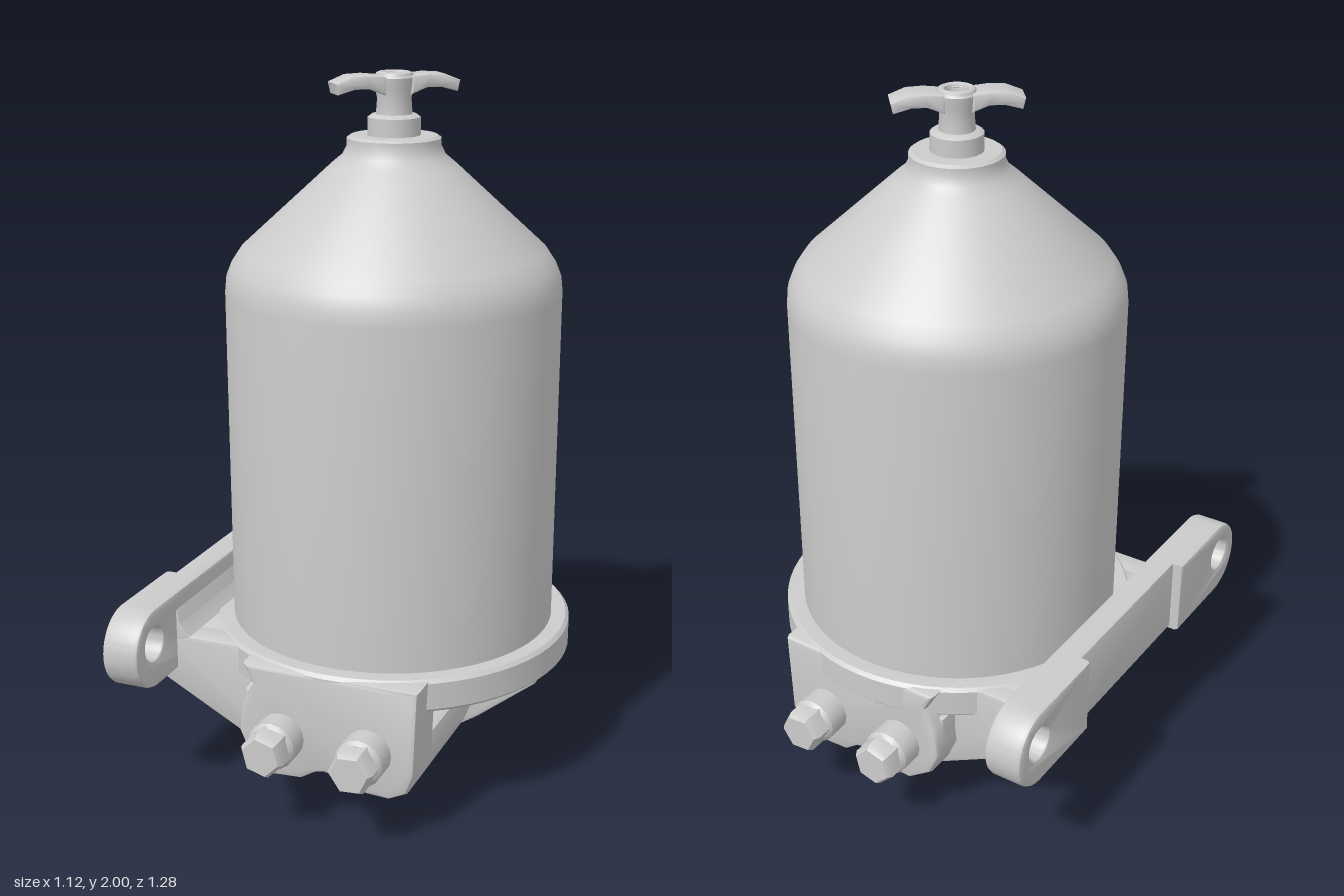
import * as THREE from 'three';
import { toCreasedNormals } from 'three/addons/utils/BufferGeometryUtils.js';

const material = new THREE.MeshStandardMaterial({ color: 0xcccccc });
const CX = 0.04, CZ = -0.01; // axis of the canister

function add(parent, name, geometry, x = 0, y = 0, z = 0, crease = 0.6) {
  const mesh = new THREE.Mesh(toCreasedNormals(geometry, crease), material);
  mesh.name = name;
  mesh.position.set(x, y, z);
  parent.add(mesh);
  return mesh;
}

const lathe = (points, segments = 64) =>
  new THREE.LatheGeometry(points.map(([r, y]) => new THREE.Vector2(r, y)), segments);

const outline = (points) => new THREE.Shape(points.map(([x, y]) => new THREE.Vector2(x, y)));

// Extrudes a shape along z, centred, with a small bevel kept inside the outline
function slab(shape, depth, bevel = 0.012) {
  const g = new THREE.ExtrudeGeometry(shape, {
    depth: depth - 2 * bevel, bevelEnabled: true, bevelSize: bevel, bevelOffset: -bevel,
    bevelThickness: bevel, bevelSegments: 2, curveSegments: 20,
  });
  return g.translate(0, 0, -depth / 2 + bevel);
}

function canister(group) {
  add(group, 'canister', lathe([
    [0, 0.42], [0.463, 0.42], [0.465, 1.41], [0.461, 1.45], [0.447, 1.485], [0.42, 1.525],
    [0.17, 1.755], [0.14, 1.78], [0.128, 1.805], [0.128, 1.825], [0.118, 1.832], [0, 1.832],
  ], 80), CX, 0, CZ);
}

function wingScrew(group) {
  const screw = new THREE.Group();
  screw.name = 'wingScrew';
  screw.position.set(CX, 0, CZ);
  screw.rotation.y = 0.7;
  group.add(screw);
  add(screw, 'collarNut', lathe([[0, 1.82], [0.072, 1.82], [0.072, 1.88], [0.06, 1.888], [0, 1.888]], 20));
  // Stem swelling into a hub with a recessed top
  add(screw, 'stem', lathe([
    [0.05, 1.88], [0.046, 1.93], [0.052, 1.955], [0.056, 1.985], [0.048, 1.995],
    [0.032, 1.995], [0.028, 1.975], [0, 1.975],
  ], 20));
  // Both wings rise from the hub and droop at the tips
  for (const side of [1, -1]) {
    const wing = outline([
      [0.035, 1.94], [0.08, 1.958], [0.12, 1.958], [0.168, 1.945],
      [0.175, 1.975], [0.13, 1.993], [0.085, 1.995], [0.035, 1.99],
    ]);
    const mesh = add(screw, 'wing', slab(wing, 0.085, 0.008));
    mesh.rotation.y = side > 0 ? 0 : Math.PI;
  }
  add(screw, 'hubTop', new THREE.TorusGeometry(0.041, 0.011, 8, 24).rotateX(Math.PI / 2), 0, 1.989);
}

function filterHead(group) {
  add(group, 'rim', lathe([
    [0, 0.33], [0.42, 0.33], [0.45, 0.36], [0.505, 0.365], [0.515, 0.375],
    [0.515, 0.45], [0.505, 0.46], [0.455, 0.46], [0, 0.44],
  ]), CX, 0, CZ);

  // Core running from port to port
  add(group, 'portCore', slab(outline([
    [-0.21, 0.36], [-0.21, 0.25], [-0.18, 0.19], [-0.11, 0.13], [-0.03, 0.135], [0.04, 0.165],
    [0.11, 0.13], [0.23, 0.125], [0.28, 0.15], [0.3, 0.2], [0.29, 0.26], [0.22, 0.29], [0.15, 0.31], [0.15, 0.36],
  ]), 0.94), 0, 0, 0, 0.7);

  // Full height port faces at the front and back
  for (const side of [1, -1]) {
    add(group, 'portFace', slab(outline([
      [-0.2, 0.455], [-0.17, 0.4], [-0.205, 0.34], [-0.215, 0.25], [-0.185, 0.18], [-0.115, 0.13],
      [-0.03, 0.135], [0.01, 0.16], [0.04, 0.167], [0.07, 0.16], [0.11, 0.13], [0.23, 0.125],
      [0.28, 0.15], [0.302, 0.21], [0.312, 0.455],
    ]), 0.15, 0.015), 0, 0, side * 0.43, 0.7);
  }

  // Tapered rib below the outer side of the rim
  add(group, 'sideRib', slab(outline([
    [0.1, 0.12], [0.26, 0.125], [0.32, 0.165], [0.49, 0.3], [0.5, 0.37], [0.1, 0.37],
  ]), 0.09), 0, 0, CZ);

  // Hub and drain plug
  add(group, 'drainHub', lathe([[0, 0.1], [0.1, 0.1], [0.15, 0.125], [0.2, 0.2], [0.22, 0.34]], 32), CX, 0, CZ);
  add(group, 'drainPlug', lathe([
    [0, 0], [0.055, 0], [0.09, 0.012], [0.105, 0.025], [0.105, 0.095], [0.085, 0.105], [0.08, 0.14],
  ], 8), CX, 0, CZ);
}

function mountingBracket(group) {
  // Sloped bridge between the head and the mounting bar, with raised underside
  add(group, 'bridge', slab(outline([
    [-0.48, 0.455], [-0.48, 0.35], [-0.17, 0.2], [-0.1, 0.2], [-0.1, 0.455],
  ]), 0.74), 0, 0, 0);
  for (const z of [-0.365, 0, 0.365]) {
    add(group, 'bridgeRib', slab(outline([
      [-0.5, 0.455], [-0.5, 0.32], [-0.17, 0.145], [-0.1, 0.125], [-0.1, 0.455],
    ]), 0.09), 0, 0, z);
  }
  // Fillet between bar and bridge
  add(group, 'bridgeFillet', slab(outline([
    [-0.47, 0.56], [-0.452, 0.54], [-0.44, 0.49], [-0.41, 0.455], [-0.47, 0.43],
  ]), 0.82, 0.002));

  const bar = outline([[-0.3, 0.35], [0.3, 0.35], [0.3, 0.58], [-0.3, 0.58]]);
  add(group, 'mountingBar', slab(bar, 0.08), -0.49).rotation.y = -Math.PI / 2;

  // Thicker ears with bolt holes
  for (const side of [1, -1]) {
    const ear = new THREE.Shape();
    ear.moveTo(0.27, 0.35);
    ear.lineTo(0.52, 0.35);
    ear.absarc(0.52, 0.465, 0.115, -Math.PI / 2, Math.PI / 2);
    ear.lineTo(0.27, 0.58);
    ear.closePath();
    const hole = new THREE.Path();
    hole.absarc(0.532, 0.48, 0.048, 0, Math.PI * 2, true);
    ear.holes.push(hole);
    const mesh = add(group, 'mountingEar', slab(ear, 0.11), -0.505);
    mesh.rotation.y = side > 0 ? -Math.PI / 2 : Math.PI / 2;
  }
}

function portPlugs(group) {
  for (const side of [1, -1]) {
    for (const x of [-0.085, 0.17]) {
      const plug = new THREE.Group();
      plug.name = 'portPlug';
      plug.position.set(x, 0.257, side * 0.49);
      plug.rotation.x = side * Math.PI / 2;
      group.add(plug);
      add(plug, 'plugCollar', lathe([[0.068, -0.02], [0.068, 0.08], [0.058, 0.092], [0, 0.092]], 16));
      const head = add(plug, 'plugHead', lathe([[0.064, 0.07], [0.064, 0.135], [0.054, 0.15], [0, 0.15]], 6));
      head.rotation.y = x < 0 ? 0.25 : 0.6;
    }
  }
}

export function createModel() {
  const group = new THREE.Group();
  group.name = 'canisterFilter';
  canister(group);
  wingScrew(group);
  filterHead(group);
  mountingBracket(group);
  portPlugs(group);
  return group;
}
